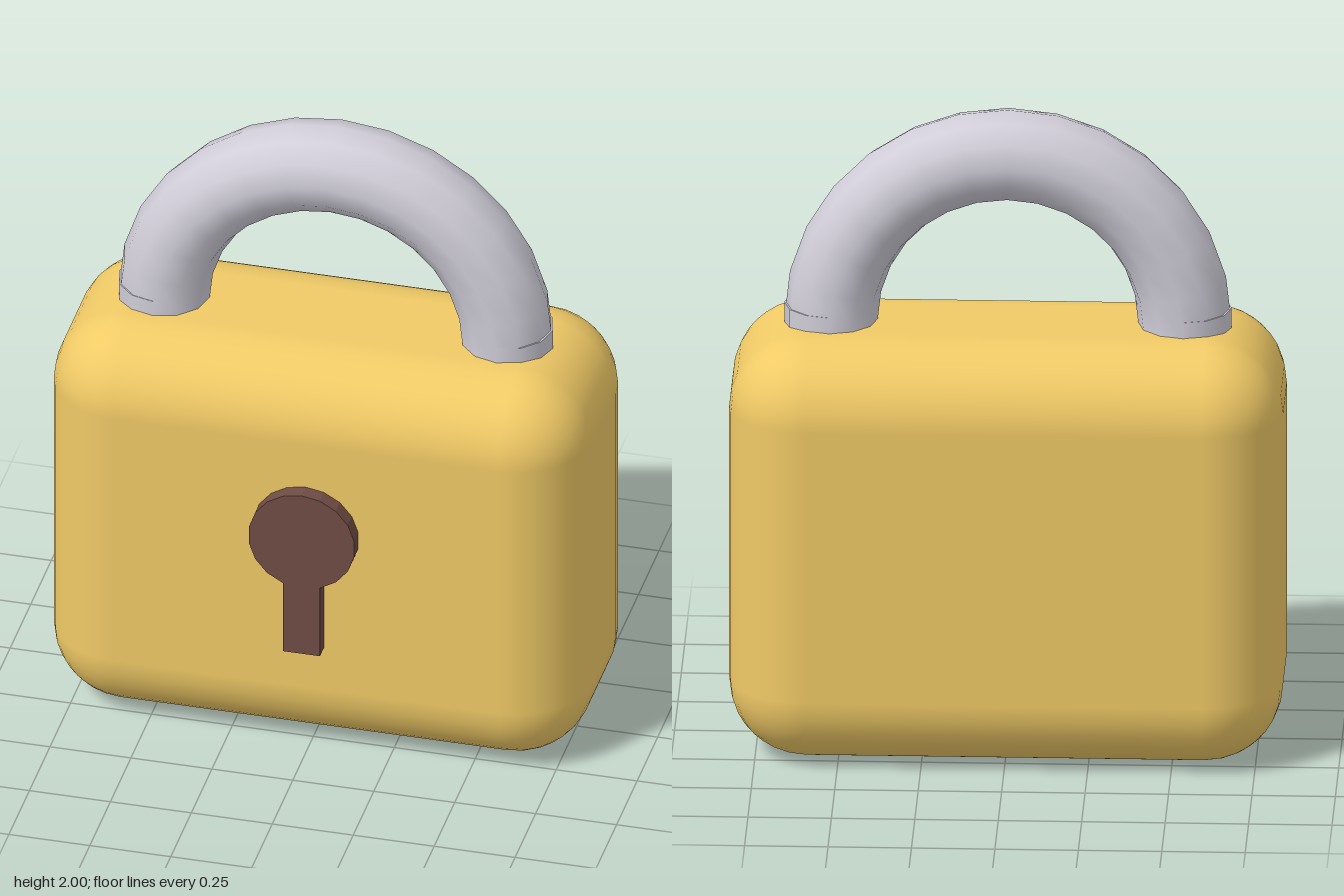
import * as THREE from 'three';
import { RoundedBoxGeometry } from 'three/addons/geometries/RoundedBoxGeometry.js';

const MID_Z = -0.025;   // depth centre of body and shackle
const BODY_TOP = 1.33;
const BAR = 0.14;       // shackle bar radius
const SPREAD = 0.53;    // shackle bend radius

export function createModel() {
  const lock = new THREE.Group();
  lock.name = 'padlock';

  const gold = new THREE.MeshStandardMaterial({ color: 0xf0ca66 });
  const steel = new THREE.MeshStandardMaterial({ color: 0xd0cdd8 });
  const brown = new THREE.MeshStandardMaterial({ color: 0x6f4c43 });

  const add = (name, geometry, material, x, y, z) => {
    const mesh = new THREE.Mesh(geometry, material);
    mesh.name = name;
    mesh.position.set(x, y, z);
    lock.add(mesh);
    return mesh;
  };

  // Body with softly rounded edges
  add('body', new RoundedBoxGeometry(1.66, BODY_TOP, 0.74, 4, 0.235), gold, 0, BODY_TOP / 2, MID_Z);

  // Shackle: half ring with a short straight collar at each foot
  add('shackle', new THREE.TorusGeometry(SPREAD, BAR, 12, 14, Math.PI), steel, 0, BODY_TOP, MID_Z);
  for (const side of [-1, 1]) {
    add(side > 0 ? 'leftShackleFoot' : 'rightShackleFoot',
      new THREE.CylinderGeometry(BAR, BAR, 0.2, 12), steel, side * SPREAD, 1.28, MID_Z)
      .rotation.y = Math.PI / 2;
  }

  // Raised keyhole: round head running into a straight slot, as one outline
  const headY = 0.782, headR = 0.165, slotHalf = 0.057, slotBottom = 0.385, sides = 16;
  const gap = Math.asin(slotHalf / headR);
  const start = -Math.PI / 2 + gap;
  const sweep = 2 * (Math.PI - gap);
  const outline = [new THREE.Vector2(-slotHalf, slotBottom), new THREE.Vector2(slotHalf, slotBottom)];
  for (let i = 0; i <= sides; i++) {
    const a = start + sweep * i / sides;
    outline.push(new THREE.Vector2(headR * Math.cos(a), headY + headR * Math.sin(a)));
  }
  add('keyhole', new THREE.ExtrudeGeometry(new THREE.Shape(outline), { depth: 0.075, bevelEnabled: false }),
    brown, 0, 0, 0.32);

  return lock;
}
